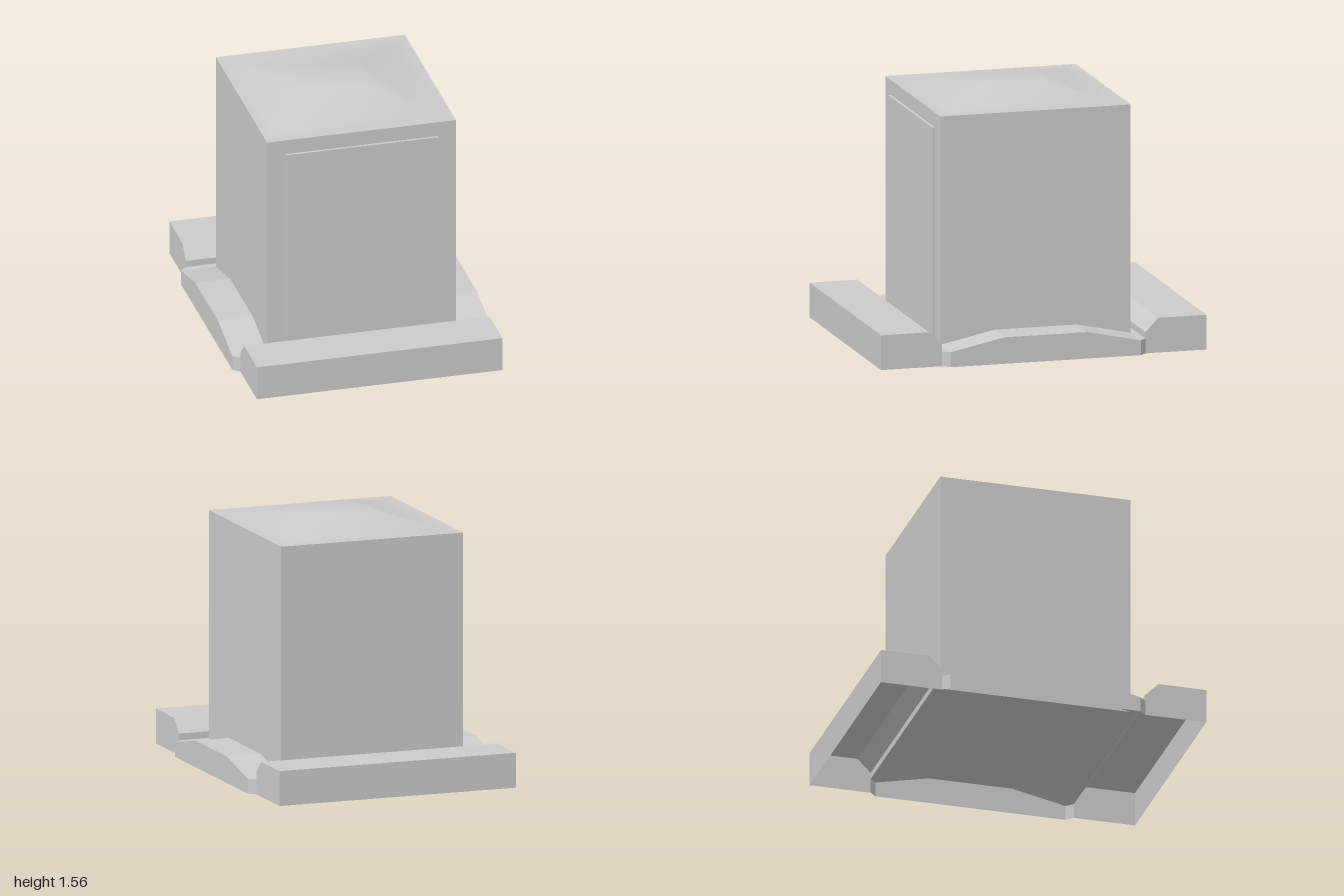
import * as THREE from 'three';

const grey = new THREE.MeshStandardMaterial({ color: 0xcccccc, side: THREE.DoubleSide });

// Joins four-cornered rings into a skin; corners run counter-clockwise seen from the end.
function loft(rings, { closed = true, capStart = false, capEnd = false, smooth = false } = {}) {
  const index = [];
  const quad = (a, b, c, d) => index.push(a, b, c, a, c, d);
  for (let r = 0; r < rings.length - 1; r++) {
    for (let i = 0; i < (closed ? 4 : 3); i++) {
      const j = (i + 1) % 4;
      quad(r * 4 + i, r * 4 + j, r * 4 + 4 + j, r * 4 + 4 + i);
    }
  }
  if (capStart) quad(3, 2, 1, 0);
  const e = (rings.length - 1) * 4;
  if (capEnd) quad(e, e + 1, e + 2, e + 3);
  let geometry = new THREE.BufferGeometry();
  geometry.setAttribute('position', new THREE.Float32BufferAttribute(rings.flat(2), 3));
  geometry.setIndex(index);
  if (!smooth) geometry = geometry.toNonIndexed();
  geometry.computeVertexNormals();
  return geometry;
}

// Horizontal rectangle at height y
const rectangle = (x, z, y) => [[x, y, z], [x, y, -z], [-x, y, -z], [-x, y, z]];

export function createModel() {
  const group = new THREE.Group();
  const add = (name, geometry) => {
    const mesh = new THREE.Mesh(geometry, grey);
    mesh.name = name;
    group.add(mesh);
    return mesh;
  };

  // Hollow base, open below: [z, half width, height at +x, height at -x]
  const half = [
    [1, 0.75, 0.21, 0.21],
    [0.705, 0.75, 0.21, 0.21],
    [0.625, 0.75, 0.13, 0.13],
    [0.625, 0.75, 0.09, 0.09],
    [0.585, 0.79, 0.09, 0.09],
    [0.255, 0.79, 0.16, 0.167],
  ];
  const stations = [...half.map(([z, ...rest]) => [-z, ...rest]), ...half.slice().reverse()];
  const sections = stations.map(([z, w, right, left]) =>
    [[w, 0, z], [w, right, z], [-w, left, z], [-w, 0, z]]);
  add('base', loft(sections, { closed: false, capStart: true, capEnd: true }));

  // Upright body, its top closed by the roof
  const W = 0.577, D = 0.585, top = 1.47;
  add('body', loft([rectangle(W, D, 0.09), rectangle(W, D, top)], { capStart: true }));

  // Softly shaded raised roof with a flat rim
  add('roof', loft([
    rectangle(W, D, top),
    rectangle(0.46, 0.465, top),
    rectangle(0.175, 0.175, 1.56),
  ], { capEnd: true, smooth: true }));

  // Thin panel on the front
  const panel = add('frontPanel', new THREE.BoxGeometry(0.924, 1.29, 0.03));
  panel.position.set(0, 0.735, 0.587);

  return group;
}
